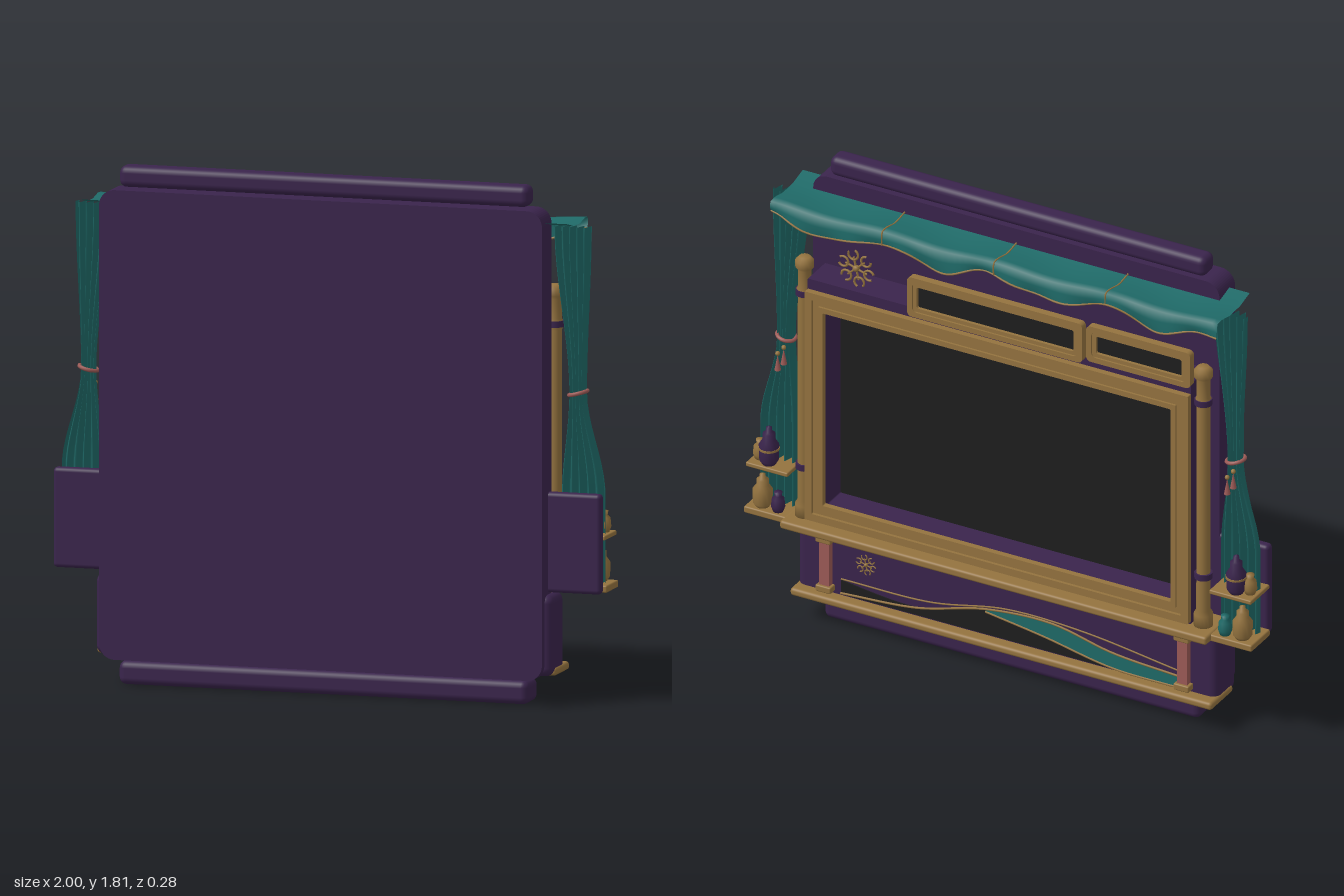
import * as THREE from 'three';
import { RoundedBoxGeometry } from 'three/addons/geometries/RoundedBoxGeometry.js';

const mat = (name, color, side = THREE.FrontSide) => {
  const m = new THREE.MeshStandardMaterial({ color, side });
  m.name = name;
  return m;
};

export function createModel() {
  const root = new THREE.Group();
  root.name = 'theatreWallUnit';
  const purple = mat('purple', 0x3a244c), gold = mat('gold', 0x94733f);
  const teal = mat('teal', 0x1f6a68, THREE.DoubleSide);
  const black = mat('black', 0x1e1e1e), rose = mat('rose', 0x9c5a56);

  const add = (name, geo, m, x = 0, y = 0, z = 0, parent = root) => {
    const mesh = new THREE.Mesh(geo, m);
    mesh.name = name;
    mesh.position.set(x, y, z);
    parent.add(mesh);
    return mesh;
  };
  // Box given by its limits on each axis, optionally rounded
  const box = (name, m, [x0, x1], [y0, y1], [z0, z1], r = 0) => {
    const s = [x1 - x0, y1 - y0, z1 - z0];
    const g = r ? new RoundedBoxGeometry(...s, 3, r) : new THREE.BoxGeometry(...s);
    return add(name, g, m, (x0 + x1) / 2, (y0 + y1) / 2, (z0 + z1) / 2);
  };
  const roundRect = (x0, x1, y0, y1, r) => {
    const s = new THREE.Shape();
    s.absarc(x1 - r, y1 - r, r, 0, Math.PI / 2);
    s.absarc(x0 + r, y1 - r, r, Math.PI / 2, Math.PI);
    s.absarc(x0 + r, y0 + r, r, Math.PI, Math.PI * 1.5);
    s.absarc(x1 - r, y0 + r, r, Math.PI * 1.5, Math.PI * 2);
    return s;
  };
  const extrude = (shape, depth) =>
    new THREE.ExtrudeGeometry(shape, { depth, bevelEnabled: false, curveSegments: 6 });
  // Rectangular ring of border width w, from z0 to z1
  const frame = (name, m, [x0, x1], [y0, y1], w, [z0, z1], r = 0.004) => {
    const s = roundRect(x0, x1, y0, y1, r);
    s.holes.push(roundRect(x0 + w, x1 - w, y0 + w, y1 - w, r));
    return add(name, extrude(s, z1 - z0), m, 0, 0, z0);
  };
  const lathe = (name, m, pts, x, y, z, seg = 16) =>
    add(name, new THREE.LatheGeometry(pts.map(p => new THREE.Vector2(...p)), seg), m, x, y, z);
  const tube = (name, m, pts, r, seg = 40) => add(name, new THREE.TubeGeometry(
    new THREE.CatmullRomCurve3(pts.map(p => new THREE.Vector3(...p))), seg, r, 6), m);

  // Back panel, bars, base cabinet
  add('backPanel', extrude(roundRect(-0.8, 0.8, 0.09, 1.73, 0.055), 0.11), purple, 0, 0, 0.03);
  box('topBar', purple, [-0.74, 0.74], [1.735, 1.81], [0.03, 0.11], 0.025);
  box('bottomBar', purple, [-0.74, 0.74], [0, 0.083], [-0.01, 0.115], 0.025);
  box('baseCabinet', purple, [-0.825, 0.825], [0.1, 0.385], [-0.04, 0.11], 0.03);
  box('baseLip', gold, [-0.83, 0.83], [0.1, 0.13], [-0.085, 0.075], 0.012);
  box('mainLedge', gold, [-0.84, 0.84], [0.39, 0.422], [-0.14, 0.03], 0.01);
  box('ledgeMoulding', gold, [-0.8, 0.8], [0.375, 0.392], [-0.1, 0.03]);

  // Screen in a deep recess with a stepped frame
  box('screen', black, [-0.72, 0.72], [0.46, 1.33], [0.015, 0.03]);
  frame('recess', purple, [-0.755, 0.755], [0.43, 1.385], 0.07, [-0.092, 0.03]);
  frame('outerFrame', gold, [-0.755, 0.755], [0.44, 1.345], 0.028, [-0.115, -0.09]);
  frame('middleFrame', gold, [-0.728, 0.728], [0.467, 1.318], 0.025, [-0.104, -0.09]);
  frame('innerFrame', gold, [-0.705, 0.705], [0.49, 1.295], 0.02, [-0.112, -0.09]);

  // Two transom panels above the screen
  [[-0.35, 0.34, 1.375, 1.53, -0.135], [-0.77, -0.36, 1.385, 1.525, -0.125]].forEach(([x0, x1, y0, y1, z]) => {
    frame('transomFrame', gold, [x0, x1], [y0, y1], 0.02, [z, z + 0.028], 0.018);
    frame('transomInnerFrame', gold, [x0 + 0.022, x1 - 0.022], [y0 + 0.022, y1 - 0.022], 0.014, [z + 0.004, z + 0.028], 0.008);
    box('transomPane', black, [x0 + 0.012, x1 - 0.012], [y0 + 0.012, y1 - 0.012], [z + 0.016, z + 0.03]);
  });

  // Filigree rosettes
  const rosette = (x, y, z, R) => {
    const g = new THREE.Group();
    g.name = 'rosette';
    g.position.set(x, y, z);
    root.add(g);
    add('rosetteCentre', new THREE.SphereGeometry(R * 0.16, 10, 8), gold, 0, 0, 0, g);
    for (let i = 0; i < 6; i++) {
      const a = i * Math.PI / 3 + 0.3;
      const petal = add('rosettePetal', new THREE.TorusGeometry(R * 0.24, R * 0.055, 6, 14, 5), gold,
        Math.cos(a) * R * 0.66, Math.sin(a) * R * 0.66, 0, g);
      petal.rotation.z = a + 0.6;
      const stem = add('rosetteStem', new THREE.CylinderGeometry(R * 0.05, R * 0.05, R * 0.5, 6), gold,
        Math.cos(a) * R * 0.3, Math.sin(a) * R * 0.3, 0, g);
      stem.rotation.z = a - Math.PI / 2;
    }
  };
  rosette(0.57, 1.47, -0.08, 0.08);
  rosette(0.55, 0.28, -0.047, 0.045);

  // Wave inlay on the base cabinet
  const inlay = (name, m, upper, lower, z) => {
    const s = new THREE.Shape();
    s.moveTo(...upper[0]);
    s.splineThru(upper.slice(1).map(p => new THREE.Vector2(...p)));
    s.lineTo(...lower[0]);
    s.splineThru(lower.slice(1).map(p => new THREE.Vector2(...p)));
    add(name, extrude(s, 0.004), m, 0, 0, z);
  };
  const crest = [[0.65, 0.14], [0.35, 0.165], [0.08, 0.235], [-0.18, 0.25], [-0.42, 0.2], [-0.68, 0.18]];
  const trough = [[-0.68, 0.135], [-0.42, 0.14], [-0.15, 0.19], [0.08, 0.225]];
  inlay('tealWave', teal, crest.slice(2), trough, -0.046);
  inlay('darkWave', black, [[0.65, 0.19], ...crest.slice(1, 3), [-0.15, 0.19], [-0.42, 0.14]],
    [[-0.42, 0.135], [0.65, 0.135]], -0.044);
  tube('waveTrim', gold, crest.map(([x, y]) => [x, y, -0.046]), 0.004);
  tube('waveTrim', gold, trough.map(([x, y]) => [x, y, -0.046]), 0.004);
  tube('waveTrim', gold, [[0.65, 0.195, -0.043], [0.3, 0.2, -0.043], [0, 0.255, -0.043], [-0.3, 0.25, -0.043], [-0.68, 0.2, -0.043]], 0.003);

  // Side pieces, mirrored
  const urn = [[0, 0], [0.024, 0], [0.034, 0.015], [0.036, 0.065], [0.022, 0.085], [0.022, 0.105], [0.012, 0.11], [0.01, 0.125], [0, 0.13]];
  const pot = [[0, 0], [0.018, 0], [0.025, 0.02], [0.022, 0.05], [0.012, 0.06], [0.015, 0.075], [0, 0.075]];
  for (const s of [-1, 1]) {
    const span = (a, b) => s > 0 ? [a, b] : [-b, -a];
    box('sideWing', purple, span(0.78, 0.99), [0.39, 0.74], [0.03, 0.07], 0.015);
    box('lowerShelf', gold, span(0.79, 1), [0.392, 0.418], [-0.105, 0.03], 0.006);
    box('upperShelf', gold, span(0.83, 0.995), [0.575, 0.592], [-0.1, 0.035], 0.005);
    lathe('goldUrn', gold, urn, s * 0.945, 0.418, -0.068);
    lathe('purpleUrn', purple, urn.map(([r, y]) => [r, y * 1.15]), s * 0.92, 0.592, -0.068);
    add('urnBand', new THREE.CylinderGeometry(0.038, 0.038, 0.008, 16), gold, s * 0.92, 0.655, -0.068);
    lathe('smallPot', s > 0 ? purple : teal, pot, s * 0.88, 0.418, -0.075);
    lathe('smallPot', gold, pot, s * 0.965, 0.592, -0.05);

    // Turned column
    lathe('column', gold, [[0, 0], [0.034, 0], [0.034, 0.05], [0.025, 0.065], [0.024, 0.87], [0.03, 0.885],
      [0.03, 0.9], [0.024, 0.91], [0.024, 0.98], [0.033, 0.99], [0.033, 1.015], [0.02, 1.03], [0, 1.03]], s * 0.785, 0.418, -0.058);
    for (const y of [0.62, 1.31])
      add('columnRing', new THREE.CylinderGeometry(0.032, 0.032, 0.022, 16), purple, s * 0.785, y, -0.058);

    // Rose pilaster on the base cabinet
    box('pilaster', rose, span(0.685, 0.725), [0.15, 0.34], [-0.065, -0.038]);
    for (const y of [0.14, 0.335])
      box('pilasterCap', gold, span(0.675, 0.735), [y, y + 0.025], [-0.075, -0.038], 0.005);

    // Curtain gathered at the tieback, with vertical folds
    const geo = new THREE.PlaneGeometry(1, 1, 48, 30);
    const p = geo.attributes.position;
    const row = (y) => { // inner and outer edge by height
      const t = y > 1.08 ? (y - 1.08) / 0.58 : (1.08 - y) / 0.35;
      const k = THREE.MathUtils.smoothstep(t, 0, 1);
      return y > 1.08 ? [0.857 - 0.057 * k, 0.912 + 0.02 * k] : [0.857 - 0.03 * k, 0.912 + 0.07 * k];
    };
    for (let i = 0; i < p.count; i++) {
      const u = p.getX(i) + 0.5, y = 0.42 + (p.getY(i) + 0.5) * 1.24;
      const [a, b] = row(y);
      p.setXYZ(i, s * (a + (b - a) * u), y, -0.008 + 0.022 * Math.sin(u * Math.PI * 10));
    }
    if (s < 0) geo.index.array.reverse();
    geo.computeVertexNormals();
    add('curtain', geo, teal);
    const tie = add('tieback', new THREE.TorusGeometry(0.033, 0.007, 8, 20), rose, s * 0.885, 1.08, -0.008);
    tie.rotation.x = Math.PI / 2;
    tie.rotation.y = s * 0.25;
    for (const [dx, dy] of [[-0.012, 0], [0.012, -0.03]]) {
      add('tassel', new THREE.ConeGeometry(0.012, 0.06, 8), rose, s * 0.885 + dx, 1.02 + dy, -0.048);
      add('tasselKnot', new THREE.SphereGeometry(0.009, 8, 6), gold, s * 0.885 + dx, 1.055 + dy, -0.048);
    }
  }

  // Draped valance with a scalloped hem
  const profile = [[0.1, 1.685], [0.03, 1.668], [-0.04, 1.66], [-0.1, 1.672], [-0.13, 1.67]];
  const hemY = x => 1.607 + 0.022 * Math.cos(x * 14.3) + 0.008 * Math.sin(x * 23);
  const hemZ = x => -0.13 + 0.006 * Math.sin(x * 30);
  const vg = new THREE.PlaneGeometry(1.76, 1, 80, 6);
  const vp = vg.attributes.position;
  for (let i = 0; i < vp.count; i++) {
    const x = vp.getX(i), r = Math.floor(i / 81);
    const ripple = 0.006 * Math.cos(x * 14.3);
    if (r < 5) vp.setXYZ(i, x, profile[r][1] + (r > 1 ? ripple : 0), profile[r][0]);
    else if (r === 5) vp.setXYZ(i, x, (hemY(x) + 1.67) / 2, -0.135);
    else vp.setXYZ(i, x, hemY(x), hemZ(x));
  }
  vg.computeVertexNormals();
  add('valance', vg, teal);
  const hem = [];
  for (let i = 0; i <= 44; i++) {
    const x = -0.88 + i * 0.04;
    hem.push([x, hemY(x), hemZ(x)]);
  }
  tube('hemTrim', gold, hem, 0.004, 120);
  for (const x of [-0.44, 0, 0.44])
    tube('valanceSeam', gold, [...profile.slice(1).map(([z, y]) => [x, y + 0.006 * Math.cos(x * 14.3), z]), [x, hemY(x), -0.133]], 0.003, 20);
  return root;
}
